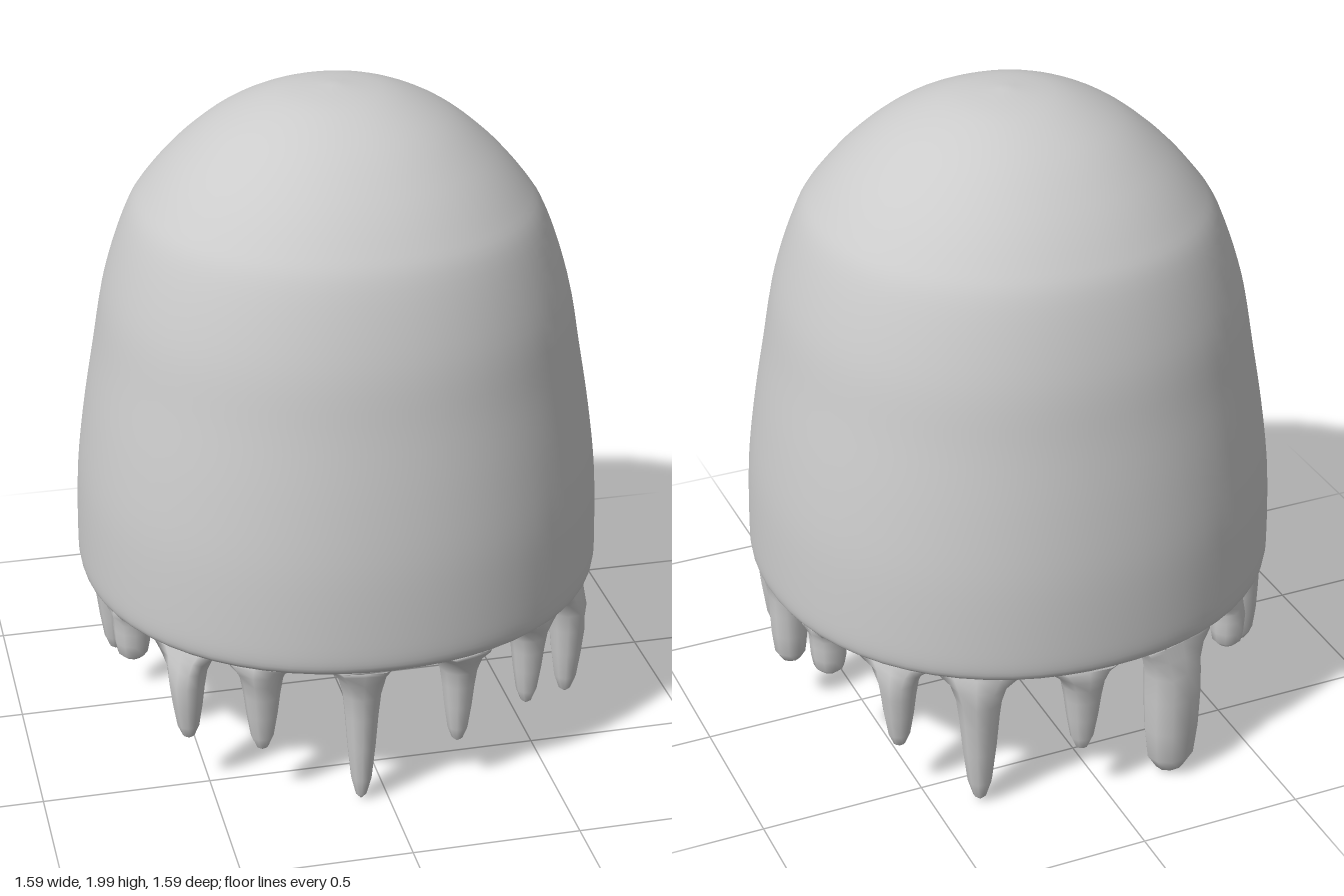
import * as THREE from 'three';
import { mergeVertices } from 'three/addons/utils/BufferGeometryUtils.js';

const material = new THREE.MeshStandardMaterial({ color: 0xcccccc });
const RIM = 0.48;

// Lathe a profile (bottom to top), bend its vertices by a rule, and smooth it without a seam
function lathe(points, sides, rule) {
  let geo = new THREE.LatheGeometry(points.map(([r, y]) => new THREE.Vector2(r, y)), sides);
  geo.deleteAttribute('uv');
  geo.deleteAttribute('normal');
  const pos = geo.attributes.position;
  const v = new THREE.Vector3();
  for (let i = 0; i < pos.count; i++) {
    v.fromBufferAttribute(pos, i);
    rule(v);
    pos.setXYZ(i, v.x, v.y, v.z);
  }
  geo = mergeVertices(geo, 1e-5);
  geo.computeVertexNormals();
  return geo;
}

// Domed body with a flat underside and a slightly squared cross-section
function makeBody() {
  const wall = new THREE.SplineCurve([
    [0.77, 0.483], [0.79, 0.51], [0.793, 0.6], [0.784, 0.8], [0.759, 1.0], [0.725, 1.2],
    [0.688, 1.4], [0.622, 1.6], [0.56, 1.7], [0.46, 1.81], [0.33, 1.91], [0.17, 1.978], [0, 2],
  ].map(([r, y]) => new THREE.Vector2(r, y)));
  const points = [[0, 0.472], [0.6, 0.472], [0.7, 0.472], [0.745, 0.474]];
  for (const p of wall.getPoints(60)) points.push([Math.max(p.x, 0), p.y]);
  points[points.length - 1] = [0, 2];
  const n = 2.1;
  const geo = lathe(points, 64, (v) => {
    const r = Math.hypot(v.x, v.z);
    if (r < 1e-6) return;
    const c = Math.abs(v.x / r), s = Math.abs(v.z / r);
    const k = Math.pow(c ** n + s ** n, -1 / n);
    v.x *= k;
    v.z *= k;
  });
  const mesh = new THREE.Mesh(geo, material);
  mesh.name = 'body';
  return mesh;
}

// Drip profile: [fraction of half width, fraction of height from the tip]
const SLIM = [[0, 0], [0.32, 0.04], [0.6, 0.16], [0.82, 0.4], [0.97, 0.62], [1.12, 0.78], [1.4, 0.9], [1.9, 0.98], [2.1, 1]];
const BLUNT = [[0, 0], [0.5, 0.03], [0.82, 0.13], [0.95, 0.35], [1, 0.6], [1.02, 0.78], [1.12, 0.9], [1.35, 0.98], [1.4, 1]];

// x, z, tip height, half width along the rim, half width across the rim, profile
const DRIPS = [
  [-0.08, 0.69, 0.01, 0.052, 0.052, SLIM],
  [0.22, 0.66, 0.15, 0.052, 0.052, SLIM],
  [0.47, 0.53, 0.17, 0.052, 0.052, SLIM],
  [0.64, 0.38, 0.1, 0.058, 0.058, SLIM],
  [0.7, 0.08, 0.17, 0.06, 0.06, BLUNT],
  [0.68, -0.22, 0.31, 0.058, 0.055, BLUNT],
  [0.56, -0.48, 0.17, 0.056, 0.056, SLIM],
  [0.36, -0.62, 0.01, 0.062, 0.065, SLIM],
  [0.07, -0.71, 0.17, 0.058, 0.055, SLIM],
  [-0.23, -0.7, 0.01, 0.094, 0.08, BLUNT],
  [-0.48, -0.57, 0.31, 0.055, 0.055, BLUNT],
  [-0.63, -0.36, 0.17, 0.078, 0.06, BLUNT],
  [-0.69, -0.07, 0.17, 0.056, 0.055, SLIM],
  [-0.68, 0.23, 0.31, 0.06, 0.055, BLUNT],
  [-0.56, 0.5, 0.17, 0.056, 0.056, SLIM],
  [-0.36, 0.61, 0.17, 0.056, 0.056, SLIM],
];

// One drip, turned to face outward, with its flared root kept inside the rim
function makeDrip([x, z, tip, along, across, profile]) {
  const a = Math.atan2(x, z);
  const up = new THREE.Vector3(0, 1, 0);
  const geo = lathe(profile, 10, (v) => {
    v.set(v.x * along, tip + v.y * (RIM - tip), v.z * across).applyAxisAngle(up, a);
    v.x += x;
    v.z += z;
    const r = Math.hypot(v.x, v.z);
    const limit = 0.775 + (RIM - v.y) * 0.25;
    if (r > limit) {
      v.x *= limit / r;
      v.z *= limit / r;
    }
  });
  const mesh = new THREE.Mesh(geo, material);
  mesh.name = 'drip';
  return mesh;
}

export function createModel() {
  const model = new THREE.Group();
  model.name = 'drippingDome';
  const drips = new THREE.Group();
  drips.name = 'drips';
  for (const d of DRIPS) drips.add(makeDrip(d));
  model.add(makeBody(), drips);
  return model;
}
